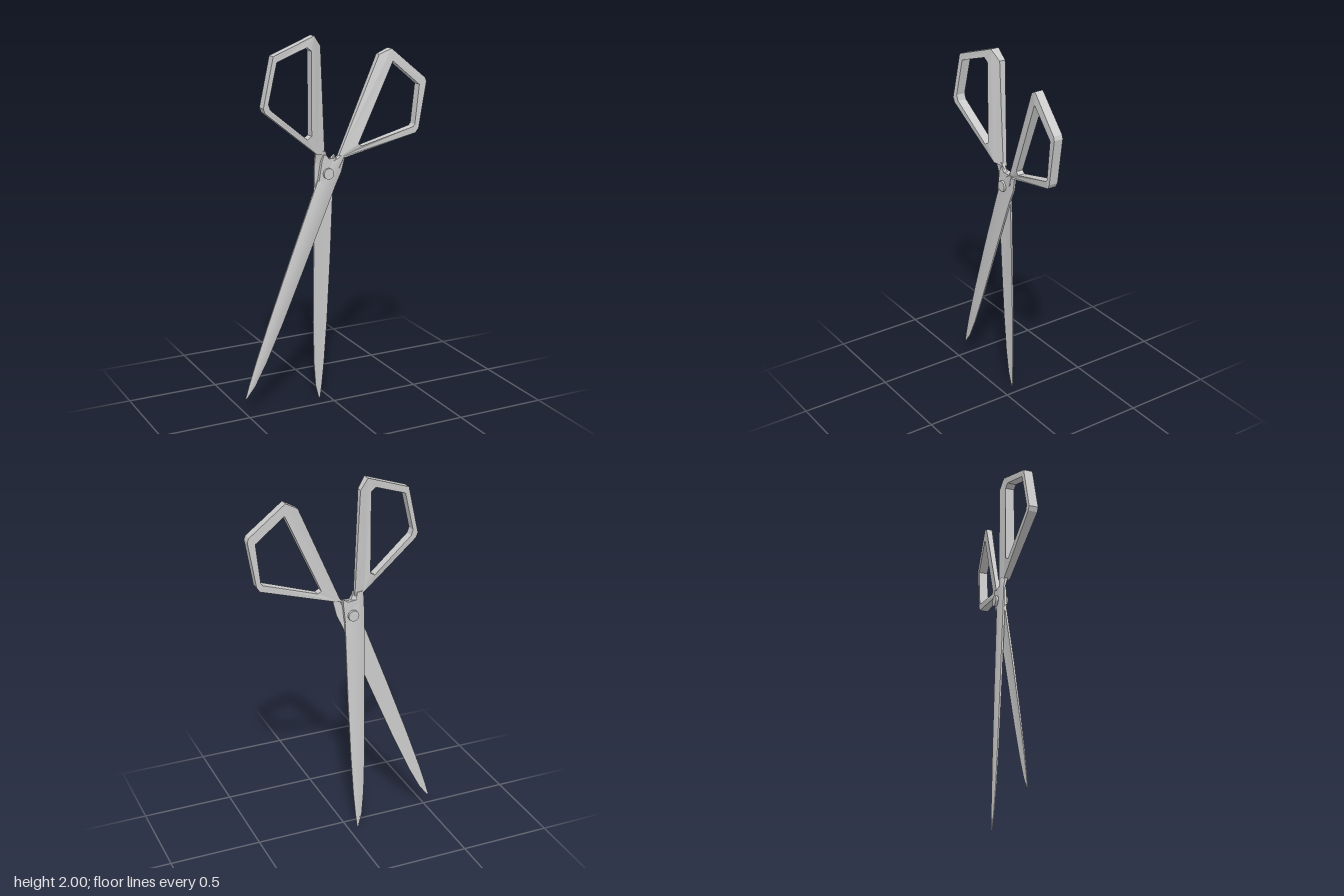
import * as THREE from 'three';
import { toCreasedNormals, mergeVertices } from 'three/addons/utils/BufferGeometryUtils.js';

const grey = new THREE.MeshStandardMaterial({ color: 0xcccccc });
const points = (list) => list.map(([x, y]) => new THREE.Vector2(x, y));
const PIVOT = [-0.036, 1.28];

function mesh(name, geometry) {
  const m = new THREE.Mesh(geometry, grey);
  m.name = name;
  return m;
}

// Finger loop: flat outline with a hole, leaning forward away from the shank,
// thinning towards the blade and sloping back to the shank's outer edge a-b.
function fingerLoop(name, outline, hole, [a, b], centreZ) {
  const shape = new THREE.Shape(points(outline));
  shape.holes.push(new THREE.Path(points(hole)));
  const geo = new THREE.ExtrudeGeometry(shape, { depth: 1, bevelEnabled: false });
  const p = geo.attributes.position;
  const length = Math.hypot(b[0] - a[0], b[1] - a[1]);
  for (let i = 0; i < p.count; i++) {
    const x = p.getX(i), y = p.getY(i), w = p.getZ(i);
    const thick = THREE.MathUtils.lerp(0.032, 0.05, THREE.MathUtils.smoothstep(y, 1.36, 1.5));
    const fromEdge = Math.abs((b[0] - a[0]) * (y - a[1]) - (b[1] - a[1]) * (x - a[0])) / length;
    const slope = 1 - THREE.MathUtils.smoothstep(fromEdge, 0, 0.06);
    p.setZ(i, centreZ(x) + thick * (w - 0.5 - slope * (0.12 + 0.33 * w)));
  }
  geo.computeVertexNormals();
  return mesh(name, geo);
}

// Blade: sections run down to the tip, each row is
// left x, left y, right x, right y, inner z, outer z.
const profile = [[0, 0], [0, 0.5], [0.3, 1], [0.7, 1], [1, 0.5], [1, 0], [0.5, 0.15]];
function blade(name, rows, side) {
  const n = profile.length, pos = [], index = [];
  const tri = (a, b, c) => (side > 0 ? index.push(a, b, c) : index.push(a, c, b));
  for (const [lx, ly, rx, ry, zi, zo] of rows) {
    for (const [u, w] of profile) {
      pos.push(lx + (rx - lx) * u, ly + (ry - ly) * u, zi + (zo - zi) * w);
    }
  }
  for (let i = 0; i < rows.length - 1; i++) {
    for (let k = 0; k < n; k++) {
      const a = i * n + k, b = i * n + (k + 1) % n;
      tri(a, a + n, b);
      tri(b, a + n, b + n);
    }
  }
  // end caps, fanned from the middle of the inner face
  const last = (rows.length - 1) * n;
  for (let k = 0; k < n - 2; k++) {
    tri(n - 1, k, k + 1);
    tri(last + n - 1, last + k + 1, last + k);
  }
  const geo = new THREE.BufferGeometry();
  geo.setAttribute('position', new THREE.Float32BufferAttribute(pos, 3));
  geo.setIndex(index);
  return mesh(name, toCreasedNormals(mergeVertices(geo), 0.45));
}

// Both blades share these sections below the pivot
const bladeRows = [
  [-0.106, 1.15, 0, 1.15, -0.021, -0.042],
  [-0.104, 0.8, -0.008, 0.8, -0.034, -0.053],
  [-0.101, 0.45, -0.02, 0.45, -0.049, -0.064],
  [-0.093, 0.22, -0.032, 0.22, -0.059, -0.07],
  [-0.08, 0.08, -0.043, 0.08, -0.066, -0.074],
  [-0.06, 0.003, -0.052, 0, -0.07, -0.075],
];

// Mirrors a section to the other half and swings it open about the pivot
const OPEN = 0.386;
function swing(x, y) {
  const dx = PIVOT[0] - x, dy = y - PIVOT[1];
  const c = Math.cos(OPEN), s = Math.sin(OPEN);
  return [PIVOT[0] + dx * c + dy * s, PIVOT[1] - dx * s + dy * c];
}
const openRow = ([lx, ly, rx, ry, zi, zo]) => {
  const inner = -0.018 + 0.62 * (zi + 0.018);
  return [...swing(rx, ry), ...swing(lx, ly), inner, inner + zi - zo];
};

// Small stop tab beside the pivot
function stopTab(name, outline, z0, z1) {
  const geo = new THREE.ExtrudeGeometry(new THREE.Shape(points(outline)), { depth: z1 - z0, bevelEnabled: false });
  geo.translate(0, 0, z0);
  return mesh(name, geo);
}

export function createModel() {
  const root = new THREE.Group();
  root.name = 'scissors';

  // Rear half: upright blade with the loop on the right hand
  const rear = new THREE.Group();
  rear.name = 'rearHalf';
  rear.add(
    fingerLoop('rearFingerLoop',
      [[-0.105, 1.39], [-0.05, 1.38], [-0.075, 1.945], [-0.12, 2], [-0.36, 1.915], [-0.42, 1.66], [-0.41, 1.635]],
      [[-0.14, 1.49], [-0.165, 1.475], [-0.38, 1.65], [-0.39, 1.68], [-0.34, 1.885], [-0.165, 1.945], [-0.14, 1.925]],
      [[-0.05, 1.38], [-0.075, 1.945]],
      (x) => -0.008 - 0.11 * (x + 0.08)),
    blade('rearBlade', [
      [-0.105, 1.4, -0.05, 1.4, 0.0, -0.032],
      [-0.105, 1.33, -0.02, 1.33, -0.018, -0.036],
      [-0.106, 1.26, 0.003, 1.26, -0.018, -0.038],
      ...bladeRows,
    ], -1),
    stopTab('rearStopTab', [[-0.06, 1.24], [0.004, 1.24], [0.016, 1.35], [0.012, 1.372], [-0.01, 1.355], [-0.06, 1.36]], -0.036, -0.018),
  );

  // Front half: slanting blade with the loop on the left hand
  const front = new THREE.Group();
  front.name = 'frontHalf';
  front.add(
    fingerLoop('frontFingerLoop',
      [[0.02, 1.355], [0.06, 1.36], [0.444, 1.465], [0.46, 1.49], [0.5, 1.735], [0.492, 1.755], [0.305, 1.915], [0.245, 1.885]],
      [[0.125, 1.428], [0.31, 1.85], [0.46, 1.72], [0.438, 1.51], [0.428, 1.498], [0.145, 1.415]],
      [[0.02, 1.355], [0.245, 1.885]],
      (x) => 0.11 * x - 0.002),
    blade('frontBlade', [
      [0.025, 1.37, 0.065, 1.365, -0.013, 0.012],
      [-0.04, 1.32, 0.045, 1.28, -0.017, 0.004],
      [-0.09, 1.245, 0.014, 1.215, -0.018, 0.002],
      ...bladeRows.map(openRow),
    ], 1),
    stopTab('frontStopTab', [[-0.088, 1.245], [-0.02, 1.24], [0.025, 1.36], [-0.03, 1.357], [-0.045, 1.378], [-0.06, 1.378], [-0.07, 1.35]], -0.018, 0.001),
  );

  // Pivot rivet with a head on each side
  const pivot = new THREE.Group();
  pivot.name = 'pivot';
  for (const [name, radius, z, length] of [['pivotPin', 0.02, -0.022, 0.06], ['frontRivetHead', 0.029, 0.006, 0.016], ['rearRivetHead', 0.029, -0.048, 0.014]]) {
    const part = mesh(name, new THREE.CylinderGeometry(radius, radius, length, 24).rotateX(Math.PI / 2));
    part.position.set(...PIVOT, z);
    pivot.add(part);
  }

  root.add(rear, front, pivot);
  return root;
}
